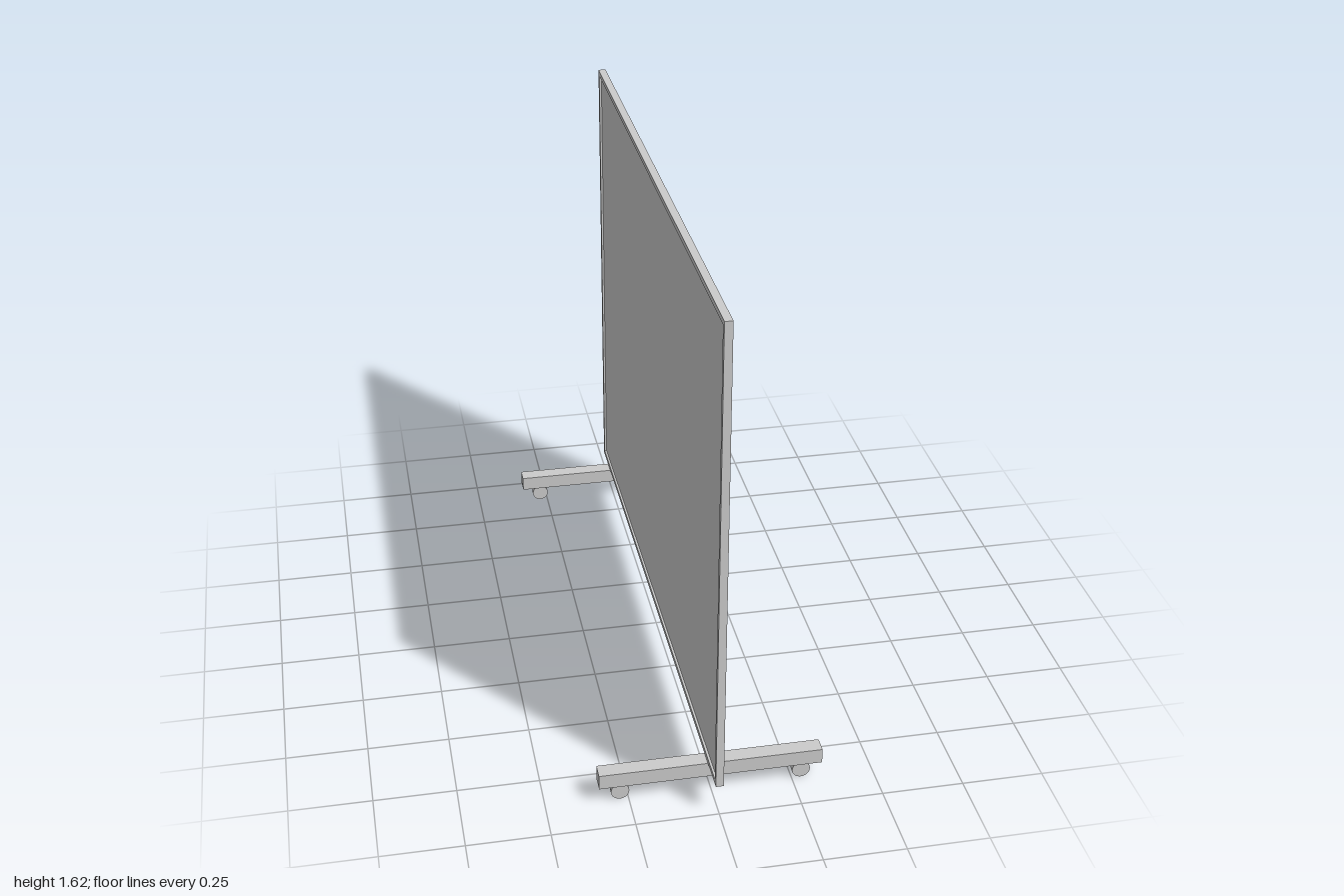
import * as THREE from 'three';

export function createModel() {
  const model = new THREE.Group();
  const material = new THREE.MeshStandardMaterial({ color: 0xcccccc });

  const add = (name, geometry, x, y, z) => {
    const mesh = new THREE.Mesh(geometry, material);
    mesh.name = name;
    mesh.position.set(x, y, z);
    model.add(mesh);
    return mesh;
  };

  const bottom = 0.103, top = 1.615, depth = 0.024, rim = 0.016;
  const height = top - bottom, midY = (top + bottom) / 2;

  // Thin frame around the board: a rectangle with a rectangular opening
  const outline = new THREE.Shape([[-1, -1], [1, -1], [1, 1], [-1, 1]]
    .map(([u, v]) => new THREE.Vector2(u, v * height / 2)));
  outline.holes.push(new THREE.Path([[-1, -1], [-1, 1], [1, 1], [1, -1]]
    .map(([u, v]) => new THREE.Vector2(u * (1 - rim), v * (height / 2 - rim)))));
  const frame = new THREE.ExtrudeGeometry(outline, { depth, bevelEnabled: false });
  frame.translate(0, 0, -depth / 2).rotateY(Math.PI / 2);
  add('frame', frame, 0, midY, 0);

  // Board recessed inside the frame
  add('board', new THREE.BoxGeometry(0.01, height - 2 * rim, 2 - 2 * rim), 0, midY, 0);

  // Two feet, each on a pair of wheels
  const wheel = new THREE.CylinderGeometry(0.0275, 0.0275, 0.024, 32).rotateX(Math.PI / 2);
  for (const [end, z] of [['front', 0.865], ['back', -0.887]]) {
    add(end + 'Foot', new THREE.BoxGeometry(0.68, 0.048, 0.05), 0, 0.079, z);
    add(end + 'RightWheel', wheel, -0.275, 0.0275, z);
    add(end + 'LeftWheel', wheel, 0.279, 0.0275, z);
  }
  return model;
}
